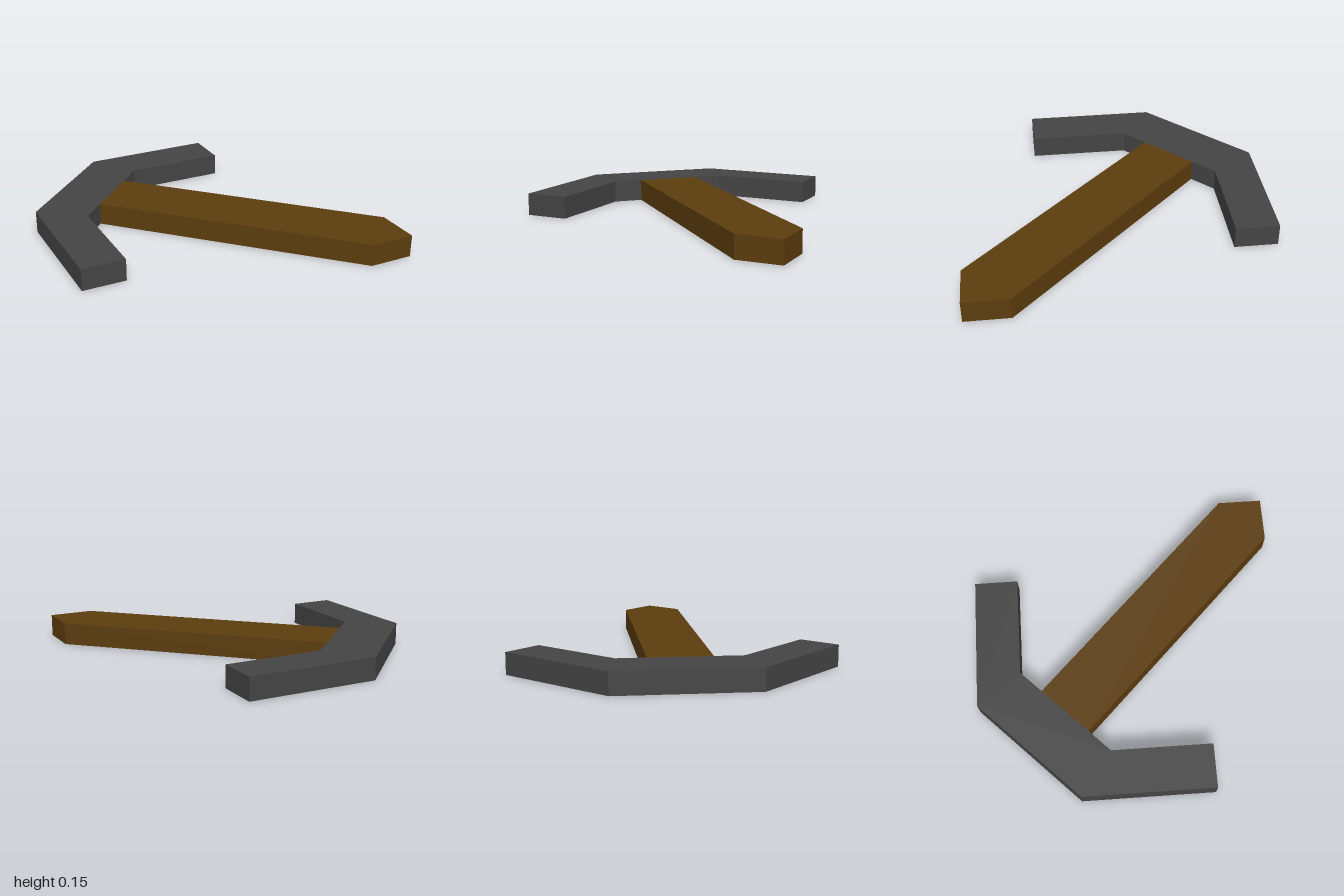
import * as THREE from 'three';

const THICKNESS = 0.145;

// Flat outline in plan (x, z)
function outline(points) {
  return new THREE.Shape(points.map(([x, z]) => new THREE.Vector2(x, z)));
}

// Slab of the common thickness, standing on y = 0
function slab(name, points, material) {
  const geometry = new THREE.ExtrudeGeometry(outline(points), { depth: THICKNESS, bevelEnabled: false });
  geometry.rotateX(Math.PI / 2).translate(0, THICKNESS, 0);
  const mesh = new THREE.Mesh(geometry, material);
  mesh.name = name;
  return mesh;
}

export function createModel() {
  const iron = new THREE.MeshStandardMaterial({ color: 0x444444 });
  iron.name = 'dark iron';
  const wood = new THREE.MeshStandardMaterial({ color: 0x5c3d0e });
  wood.name = 'brown wood';
  const blueSteel = new THREE.MeshStandardMaterial({ color: 0x525d6b });
  blueSteel.name = 'blue steel';

  const group = new THREE.Group();
  group.name = 'pickaxe';

  // Bent head: one half, mirrored across the handle's diagonal by swapping x and z
  const halfOuter = [[0.5, -1], [-0.36, -1]];
  const halfInner = [[-0.155, -0.715], [0.5, -0.715]];
  const swap = ([x, z]) => [z, x];
  group.add(slab('head', [
    ...halfOuter,
    ...halfOuter.map(swap).reverse(),
    ...halfInner.map(swap).reverse(),
    ...halfInner,
  ], iron));

  // Handle with a squared corner at its end
  group.add(slab('handle', [
    [-0.58, -0.29], [-0.29, -0.58], [1, 0.71], [1, 1], [0.71, 1],
  ], wood));

  // Blue underside of one arm
  const underside = new THREE.ShapeGeometry(outline([...halfOuter, ...halfInner]));
  underside.rotateX(Math.PI / 2).translate(0, -0.001, 0);
  const panel = new THREE.Mesh(underside, blueSteel);
  panel.name = 'armUnderside';
  group.add(panel);

  return group;
}
